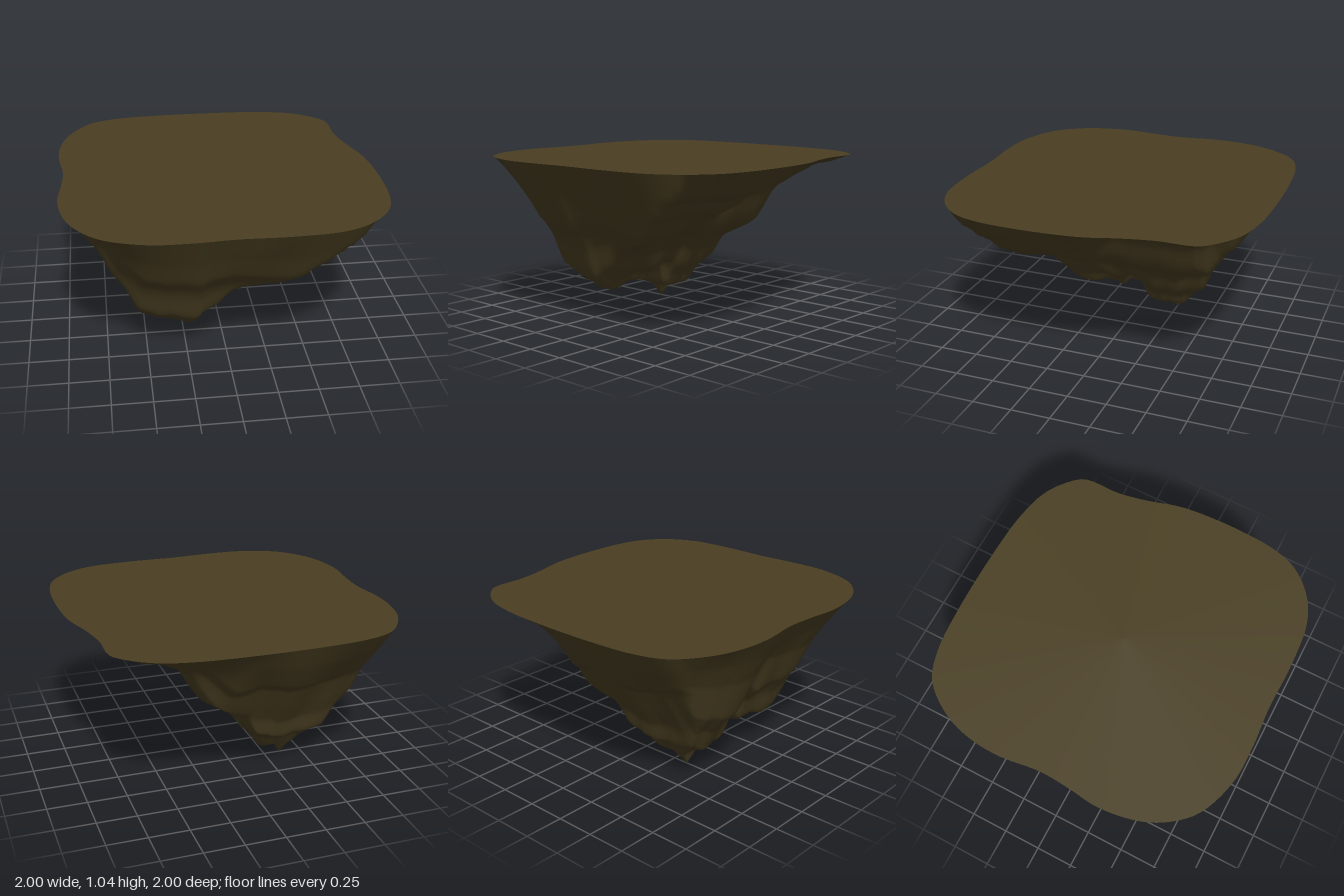
import * as THREE from 'three';

const TOP = 1.04, SEG = 160, RINGS = 64;
const { lerp, smoothstep } = THREE.MathUtils;

// Plateau rim as [x, z], running from +x towards +z
const RIM = [
  [0.99, 0], [1, 0.3], [0.98, 0.55], [0.93, 0.71], [0.8, 0.86], [0.62, 0.95], [0.32, 0.98], [0, 0.975],
  [-0.25, 0.99], [-0.5, 0.98], [-0.75, 0.89], [-0.88, 0.76], [-0.96, 0.6], [-1, 0.35], [-0.98, 0.15],
  [-0.97, -0.05], [-1, -0.3], [-0.99, -0.5], [-0.93, -0.7], [-0.78, -0.9], [-0.6, -0.97], [-0.3, -1],
  [0.2, -1], [0.45, -0.98], [0.65, -0.93], [0.8, -0.83], [0.87, -0.74], [0.88, -0.5], [0.92, -0.3], [0.97, -0.13],
];

// Height of the underside across x and along z, as [position, y]
const ACROSS = [
  [-1, 1.04], [-0.9, 0.89], [-0.8, 0.72], [-0.7, 0.47], [-0.6, 0.34], [-0.53, 0.19], [-0.45, 0.15], [-0.39, 0.1],
  [-0.355, 0], [-0.31, 0.1], [-0.19, 0.11], [-0.15, 0.19], [-0.07, 0.27], [0, 0.39], [0.1, 0.48], [0.2, 0.54],
  [0.32, 0.57], [0.43, 0.63], [0.53, 0.72], [0.65, 0.78], [0.7, 0.84], [0.82, 0.88], [1, 1.04],
];
const ALONG = [
  [-1, 1.04], [-0.9, 0.89], [-0.77, 0.71], [-0.7, 0.66], [-0.6, 0.49], [-0.52, 0.36], [-0.48, 0.24], [-0.41, 0.2],
  [-0.34, 0.11], [-0.25, 0], [-0.2, 0.09], [-0.1, 0.13], [-0.05, 0.24], [0.02, 0.25], [0.08, 0.18], [0.2, 0.2],
  [0.31, 0.17], [0.42, 0.2], [0.53, 0.29], [0.6, 0.45], [0.65, 0.53], [0.75, 0.64], [0.85, 0.81], [1, 1.04],
];

function depthAt(profile, t) {
  if (t >= 1 || t <= -1) return 0;
  const i = Math.max(1, profile.findIndex((p) => p[0] >= t));
  const [a, ya] = profile[i - 1], [b, yb] = profile[i];
  return TOP - lerp(ya, yb, (t - a) / (b - a));
}

// Depth of rock below the plateau; u and v reach 1 on the rim
function rockDepth(u, v) {
  const f = depthAt(ACROSS, u), g = depthAt(ALONG, v);
  const full = Math.min(f, g), lean = Math.min(full, (f * g) / 0.93);
  // The left side and the back bulge, the front right corner is lean
  const bulge = Math.max(smoothstep(u, -0.3, 0.2), 0.6 * smoothstep(-v, 0, 0.4));
  // High overhang behind a steep cliff, under the notch of the rim
  const out = u + 0.5 * Math.max(0, -v - 0.6);
  const overhang = 0.5 * smoothstep(out, 0.2, 0.45) + 0.2 * smoothstep(out, 0.45, 0.8);
  return lerp(lean, full, bulge) * (1 - overhang * smoothstep(-v, -0.15, 0.15));
}

function rimPoints() {
  const curve = new THREE.CatmullRomCurve3(RIM.map(([x, z]) => new THREE.Vector3(x, TOP, z)), true);
  return curve.getSpacedPoints(SEG).slice(0, SEG);
}

function makeGeometry(positions, indices) {
  const geometry = new THREE.BufferGeometry();
  geometry.setAttribute('position', new THREE.Float32BufferAttribute(positions, 3));
  geometry.setIndex(indices);
  geometry.computeVertexNormals();
  return geometry;
}

// Rings spreading from the lowest tip out to the rim
function undersideGeometry(rim) {
  const tip = new THREE.Vector3(-0.355, 0, -0.25);
  const positions = [tip.x, tip.y, tip.z], indices = [];
  for (let j = 1; j <= RINGS; j++) {
    const r = j / RINGS;
    rim.forEach((p, i) => {
      const x = lerp(tip.x, p.x, r), z = lerp(tip.z, p.z, r);
      const k = lerp(1, 1 / Math.max(Math.abs(p.x), Math.abs(p.z)), r ** 4);
      // Bend the ridges so they wander down the rock
      const w = 0.1 * r * (1 - r);
      const u = x * k + w * Math.sin(7 * z + 3 * x), v = z * k + w * Math.sin(8 * x - 2 * z + 1);
      const ripple = 1 + 0.15 * r * r * (1 - r) * Math.sin((i / SEG) * Math.PI * 22 + 4 * r);
      const y = r === 1 ? TOP : TOP - Math.min(TOP, rockDepth(u, v) * ripple);
      positions.push(x, y, z);
      const n = (i + 1) % SEG, b = 1 + (j - 1) * SEG, a = b - SEG;
      if (j === 1) indices.push(0, b + i, b + n);
      else indices.push(a + i, b + i, b + n, a + i, b + n, a + n);
    });
  }
  return makeGeometry(positions, indices);
}

// Flat cap as a fan around the middle
function plateauGeometry(rim) {
  const positions = [0, TOP, 0], indices = [];
  rim.forEach((p, i) => {
    positions.push(p.x, TOP, p.z);
    indices.push(0, 1 + ((i + 1) % SEG), 1 + i);
  });
  return makeGeometry(positions, indices);
}

export function createModel() {
  const group = new THREE.Group();
  group.name = 'floatingIsland';
  const earth = new THREE.MeshStandardMaterial({ color: 0x4a3f22 });
  earth.name = 'earthBrown';
  const rim = rimPoints();
  const parts = { plateau: plateauGeometry(rim), rockyUnderside: undersideGeometry(rim) };
  for (const [name, geometry] of Object.entries(parts)) {
    const mesh = new THREE.Mesh(geometry, earth);
    mesh.name = name;
    group.add(mesh);
  }
  return group;
}
